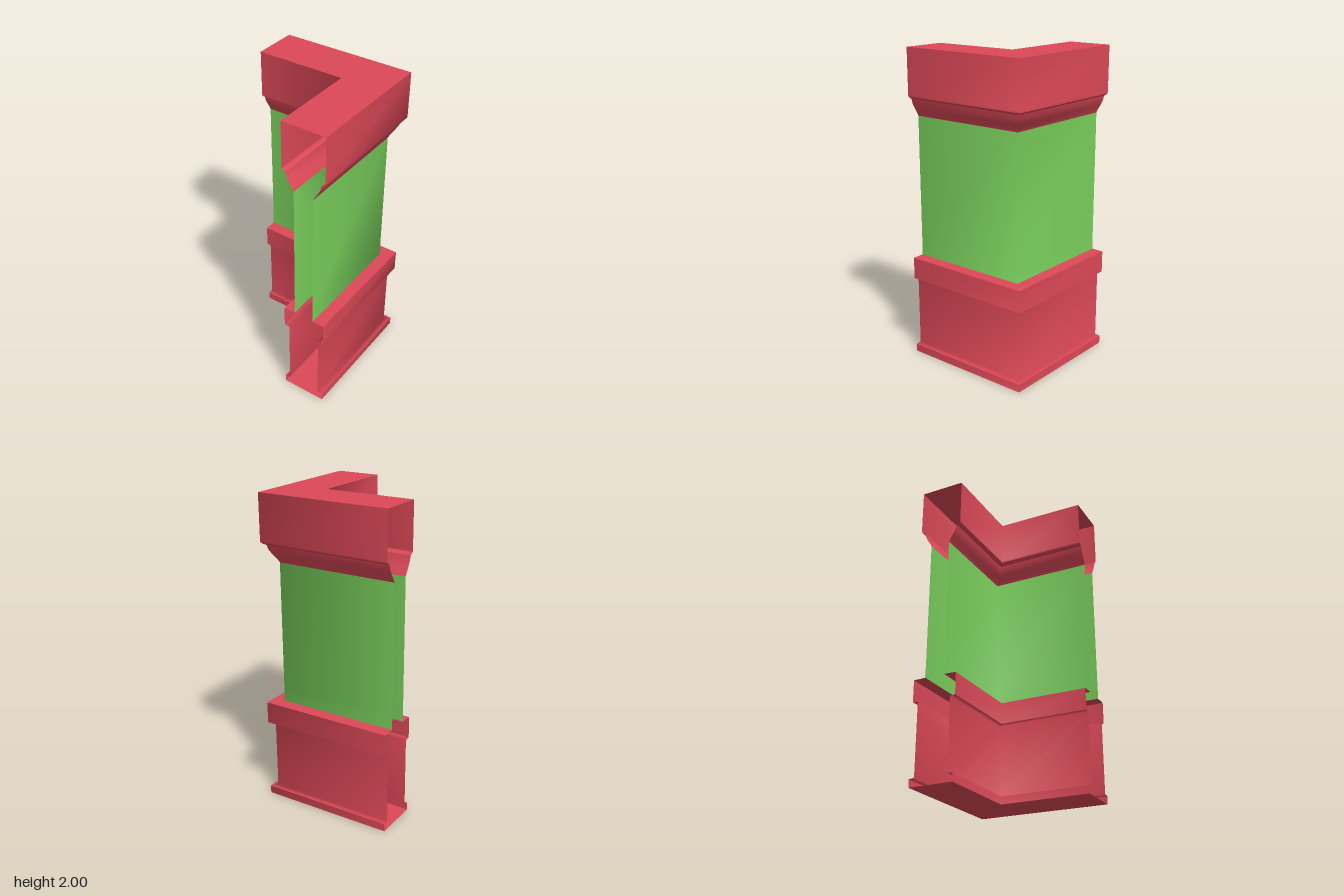
import * as THREE from 'three';

const R = 0.435;   // outer extent of both wings
const IN = 0.145;  // inner face of both wings at the widest level
const red = new THREE.MeshStandardMaterial({ color: 0xdc4857, side: THREE.DoubleSide });
const green = new THREE.MeshStandardMaterial({ color: 0x79cf5c, side: THREE.DoubleSide });

// Plan paths of the outer and inner faces, set in by d; both run with outside on the right hand
const outerPath = d => [[-R, R - d], [R - d, R - d], [R - d, -R]];
const innerPath = d => [[IN + d, -R], [IN + d, IN + d], [-R, IN + d]];

// Sweep a profile of [inset, height] pairs round the corner
function sweep(profile, path) {
  const pos = [], index = [];
  for (const [d, y] of profile) for (const [x, z] of path(d)) pos.push(x, y, z);
  for (let j = 0; j < profile.length - 1; j++) {
    for (let i = 0; i < 2; i++) {
      const a = j * 3 + i, b = a + 1, c = b + 3, e = a + 3;
      index.push(a, b, c, a, c, e);
    }
  }
  const g = new THREE.BufferGeometry();
  g.setAttribute('position', new THREE.Float32BufferAttribute(pos, 3));
  g.setIndex(index);
  g.computeVertexNormals();
  return g;
}

// Flat L-shaped plate facing up or down
function plate(y, up) {
  const s = up ? -1 : 1;
  const pts = [...outerPath(0), ...innerPath(0)].map(([x, z]) => new THREE.Vector2(x, s * z));
  return new THREE.ShapeGeometry(new THREE.Shape(pts)).rotateX(s * Math.PI / 2).translate(0, y, 0);
}

export function createModel() {
  const model = new THREE.Group();

  const addPart = (name, material, ...profiles) => {
    const part = new THREE.Group();
    part.name = name;
    for (const profile of profiles) {
      for (const [side, path] of [['Outer', outerPath], ['Inner', innerPath]]) {
        const mesh = new THREE.Mesh(sweep(profile, path), material);
        mesh.name = name + side;
        part.add(mesh);
      }
    }
    model.add(part);
    return part;
  };
  const addPlate = (part, name, y, up) => {
    const mesh = new THREE.Mesh(plate(y, up), red);
    mesh.name = name;
    part.add(mesh);
  };

  // Base: foot strip, recessed skirt and projecting rail
  const base = addPart('base', red,
    [[0, 0], [0, 0.05]],
    [[0, 0.05], [0.035, 0.055], [0.035, 0.515], [0, 0.518]],
    [[0, 0.518], [0, 0.658]],
    [[0, 0.658], [0.08, 0.66]]);
  addPlate(base, 'floor', 0, false);

  // Plain wall between base and cornice
  addPart('wall', green, [[0.078, 0.66], [0.08, 0.75], [0.08, 1.575]]);

  // Cornice: flared moulding, small groove and tall cap
  const cornice = addPart('cornice', red,
    [[0.08, 1.572], [0.072, 1.59], [0.05, 1.625], [0.034, 1.655], [0.026, 1.685]],
    [[0.026, 1.685], [0.016, 1.69], [0.002, 1.7]],
    [[0.002, 1.7], [0, 1.71], [0, 2]]);
  addPlate(cornice, 'top', 2, true);

  return model;
}
